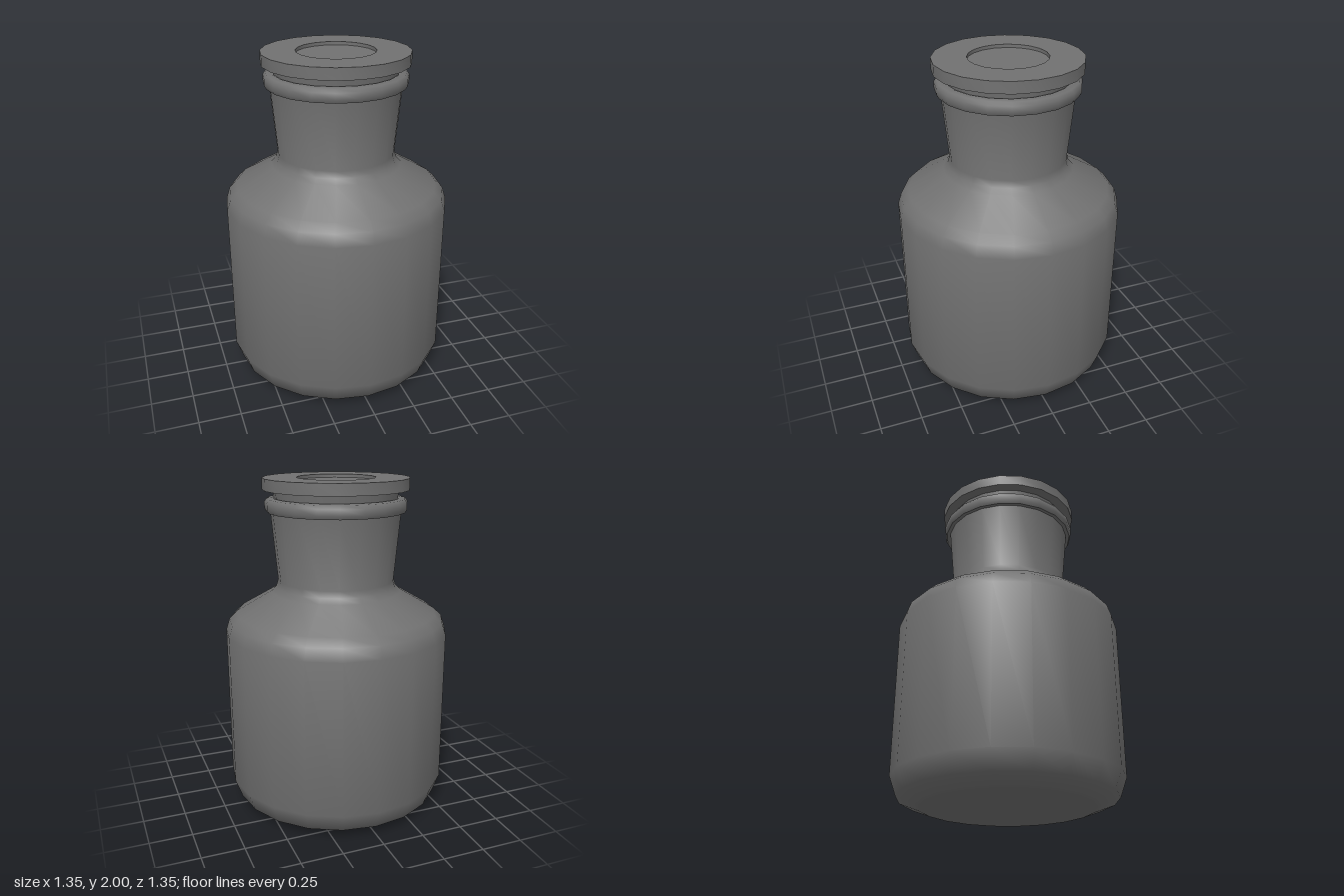
import * as THREE from 'three';
import { toCreasedNormals } from 'three/addons/utils/BufferGeometryUtils.js';

const SIDES = 20;

// Turned part from a [radius, height] profile, listed so the outside faces out.
function turned(name, profile, material, crease = 0.96) {
  const points = profile.map(([r, y]) => new THREE.Vector2(r, y));
  const geometry = toCreasedNormals(new THREE.LatheGeometry(points, SIDES), crease);
  const mesh = new THREE.Mesh(geometry, material);
  mesh.name = name;
  return mesh;
}

export function createModel() {
  const material = new THREE.MeshStandardMaterial({ color: 0x717171 });
  const model = new THREE.Group();
  model.name = 'stopperedBottle';

  // Flat base, kept apart so its rim stays sharp
  model.add(turned('base', [[0, 0], [0.51, 0.003]], material));

  // Body, sloped shoulder and flared neck
  model.add(turned('body', [
    [0.51, 0.003], [0.635, 0.05], [0.675, 0.16], [0.675, 1.09],
    [0.652, 1.16], [0.605, 1.205], [0.39, 1.33], [0.362, 1.36],
    [0.35, 1.40], [0.388, 1.81],
  ], material));

  // Rounded lip and the inner wall of the neck
  model.add(turned('lip', [
    [0.386, 1.805], [0.41, 1.805], [0.421, 1.825], [0.421, 1.862],
    [0.407, 1.882], [0.375, 1.887], [0.354, 1.88], [0.306, 1.40],
  ], material));

  // Stopper: tapered plug, flat disc and shallow round recess
  model.add(turned('stopper', [
    [0, 1.45], [0.30, 1.45], [0.372, 1.932], [0.433, 1.932], [0.433, 2],
    [0.232, 2], [0.232, 1.98], [0, 1.98],
  ], material, 0.6));

  return model;
}
